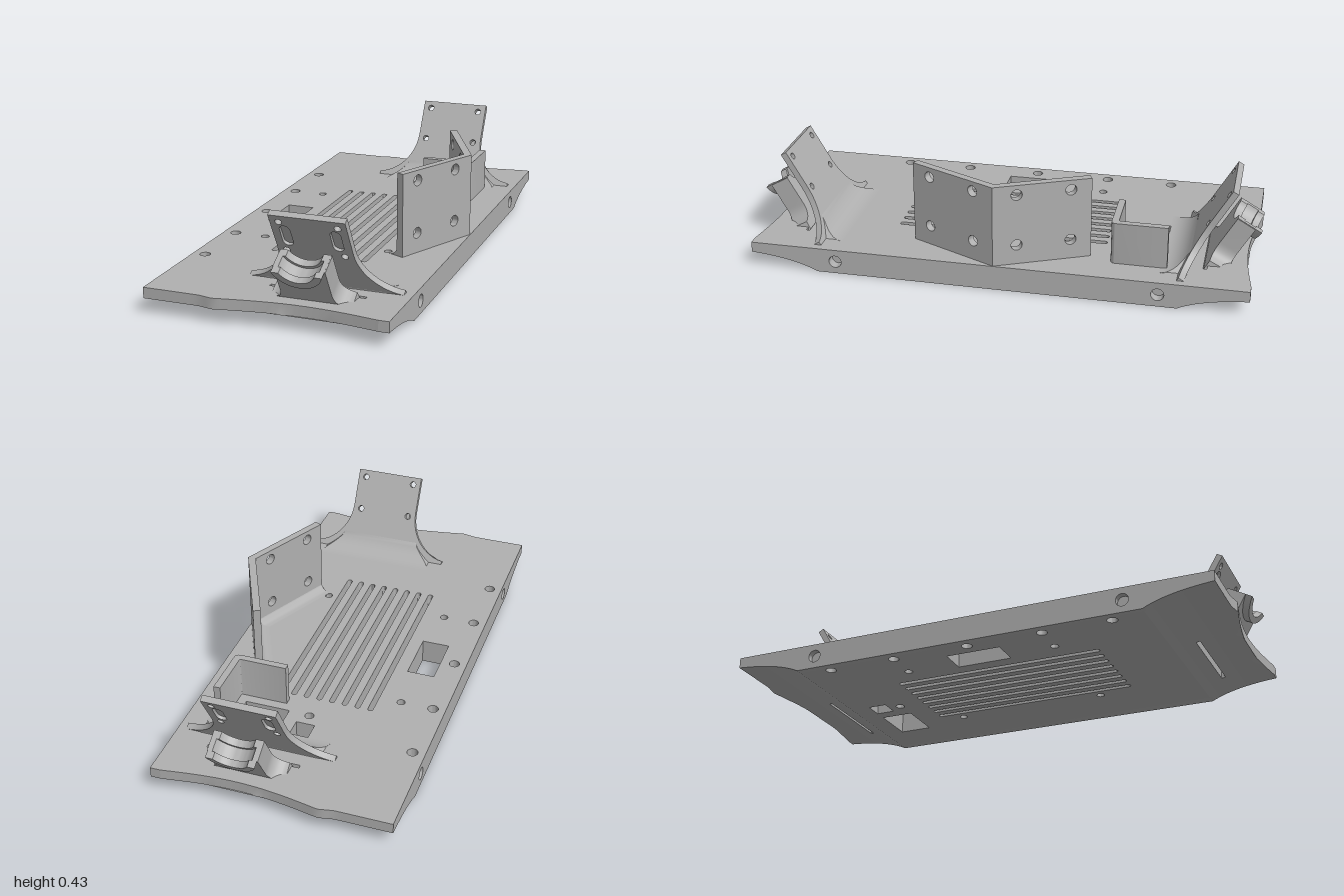
import * as THREE from 'three';
import { toCreasedNormals } from 'three/addons/utils/BufferGeometryUtils.js';

const grey = new THREE.MeshStandardMaterial({ color: 0xb0b0b0 });
grey.name = 'grey';

function part(name, geometry, parent) {
  const mesh = new THREE.Mesh(toCreasedNormals(geometry, 0.6), grey);
  mesh.name = name;
  parent.add(mesh);
  return mesh;
}

const poly = (pts) => new THREE.Shape(pts.map(([x, y]) => new THREE.Vector2(x, y)));
const rect = (x0, y0, x1, y1) => poly([[x0, y0], [x1, y0], [x1, y1], [x0, y1]]);
const circle = (x, y, r) => new THREE.Path().absarc(x, y, r, 0, Math.PI * 2);

// Upright rounded slot
function oval(x, y0, y1, r) {
  const p = new THREE.Path();
  p.absarc(x, y1 - r, r, 0, Math.PI);
  p.absarc(x, y0 + r, r, Math.PI, Math.PI * 2);
  p.closePath();
  return p;
}

const extrude = (shape, depth, steps = 1) =>
  new THREE.ExtrudeGeometry(shape, { depth, steps, bevelEnabled: false, curveSegments: 12 });

// Shape drawn as (z, y), extruded from x0 to x1
const alongX = (shape, x0, x1, steps) =>
  extrude(shape, x1 - x0, steps).rotateY(-Math.PI / 2).translate(x1, 0, 0);

// Shape drawn as (x, -z), extruded from y0 to y1
const plan = (shape, y0, y1) => extrude(shape, y1 - y0).rotateX(-Math.PI / 2).translate(0, y0, 0);

function moveVertices(geometry, rule) {
  const p = geometry.attributes.position, v = new THREE.Vector3();
  for (let i = 0; i < p.count; i++) {
    rule(v.fromBufferAttribute(p, i));
    p.setXYZ(i, v.x, v.y, v.z);
  }
  return geometry;
}

const TOP = 0.1, FLAT = 0.71, END = 0.98;
const XL = -0.445, XR = 0.43;

// Underside sweep of the plate ends, as (z, y)
const sweep = new THREE.QuadraticBezierCurve(
  new THREE.Vector2(FLAT, 0), new THREE.Vector2(0.8, 0.046), new THREE.Vector2(END, 0.058)).getPoints(14);
const underside = (z) => {
  const i = Math.max(1, sweep.findIndex((p) => p.x >= z));
  const a = sweep[i - 1], b = sweep[i];
  return a.y + (b.y - a.y) * (z - a.x) / (b.x - a.x);
};

// Slice of the end profile between two z values
function endSlice(z0, z1, s) {
  const low = sweep.filter((p) => p.x > z0 + 1e-4 && p.x < z1 - 1e-4).map((p) => [p.x * s, p.y]);
  return poly([[z0 * s, underside(z0)], ...low, [z1 * s, underside(z1)], [z1 * s, TOP], [z0 * s, TOP]]);
}

// Shallow inward curve of the end edge
function endOffset(x) {
  if (x < -0.25) return 0;
  if (x < -0.19) return 0.012 * (x + 0.25) / 0.06;
  const t = (x + 0.19) / (XR + 0.19);
  return 0.012 * (1 - t) - 0.035 * Math.sin(Math.PI * t);
}

function addBase(root) {
  const base = new THREE.Group();
  base.name = 'basePlate';
  root.add(base);

  // Flat middle with its cut-outs
  const mid = rect(XL, -FLAT, XR, FLAT);
  for (let i = 0; i < 8; i++) mid.holes.push(oval(-0.19 + i * 0.0528, -0.45, 0.4, 0.0105));
  for (const z of [-0.585, -0.31, 0, 0.305, 0.58]) mid.holes.push(circle(-0.42, -z, 0.021));
  for (const z of [-0.31, 0.305])
    for (const x of [-0.29, 0.23]) mid.holes.push(circle(x, -z, 0.016));
  mid.holes.push(rect(-0.365, -0.11, -0.255, 0.11), rect(-0.02, 0.555, 0.055, 0.63),
    rect(0.105, 0.5, 0.285, 0.63), circle(0.02, 0.505, 0.018));
  part('middlePlate', plan(mid, 0, TOP), base);

  // Swept ends, each with a thin cross slot
  for (const s of [1, -1]) {
    const pieces = [[XL, -0.05, FLAT, END], [-0.05, 0.32, FLAT, 0.79],
      [-0.05, 0.32, 0.805, END], [0.32, XR, FLAT, END]];
    for (const [x0, x1, z0, z1] of pieces) {
      const g = alongX(endSlice(z0, z1, s), x0, x1, 14);
      moveVertices(g, (v) => { if (Math.abs(v.z) > END - 0.005) v.z += s * endOffset(v.x); });
      part('sweptEnd', g, base);
    }
  }

  // Long edge strips with side holes
  const side = [...sweep.map((p) => [p.x, p.y]), [END, TOP], [-END, TOP],
    ...sweep.map((p) => [-p.x, p.y]).reverse()];
  for (const [x0, x1] of [[-0.47, XL], [XR, 0.47]]) {
    const shape = poly(side);
    for (const z of [-0.635, 0.635]) shape.holes.push(circle(z, 0.05, 0.025));
    part('edgeStrip', alongX(shape, x0, x1), base);
  }
}

// Leaning end bracket, built symmetric about x = 0 and facing +z
function addBracket(root, name, turn) {
  const bracket = new THREE.Group();
  bracket.name = name;
  bracket.position.x = 0.137;
  bracket.rotation.y = turn;
  root.add(bracket);

  const tilted = new THREE.Group();
  tilted.name = 'leaningParts';
  tilted.position.set(0, TOP, 0.73);
  tilted.rotation.x = Math.PI / 6;
  bracket.add(tilted);

  // Flared back plate: drilled inner layer, outer layer also has blind slots
  for (const outer of [false, true]) {
    const s = poly([[-0.3, -0.03], [0.3, -0.03], [0.3, 0]]);
    s.bezierCurveTo(0.215, 0.01, 0.145, 0.09, 0.145, 0.19);
    s.lineTo(0.145, 0.35);
    s.lineTo(-0.145, 0.35);
    s.lineTo(-0.145, 0.19);
    s.bezierCurveTo(-0.145, 0.09, -0.215, 0.01, -0.3, 0);
    for (const x of [-0.111, 0.111]) {
      for (const v of [0.173, 0.318]) s.holes.push(circle(x, v, 0.013));
      if (outer) s.holes.push(oval(x * 0.86, 0.2, 0.3, 0.02));
    }
    part('backPlate', extrude(s, 0.0125).translate(0, 0, outer ? -0.0125 : -0.025), tilted);
  }

  // Cradle: three half rings, the middle one grooved
  for (const [n0, n1, r] of [[0.06, 0.09, 0.073], [0.09, 0.14, 0.083], [0.14, 0.168, 0.073]]) {
    const a = Math.asin(0.031 / 0.1), b = Math.asin(0.031 / r);
    const s = new THREE.Shape();
    s.absarc(0, 0.278, 0.1, Math.PI + a, 2 * Math.PI - a, false);
    s.absarc(0, 0.278, r, 2 * Math.PI - b, Math.PI + b, true);
    s.closePath();
    part('cradleRing', extrude(s, n1 - n0).translate(0, 0, n0), tilted);
  }

  // Flared cradle support, trimmed to sit in the plate
  const s = poly([[-0.16, 0], [0.16, 0], [0.155, 0.06]]);
  s.quadraticCurveTo(0.098, 0.07, 0.098, 0.125);
  s.lineTo(0.098, 0.245);
  s.absarc(0, 0.278, 0.09, -0.37, Math.PI + 0.37, true);
  s.lineTo(-0.098, 0.245);
  s.lineTo(-0.098, 0.125);
  s.quadraticCurveTo(-0.098, 0.07, -0.155, 0.06);
  const g = extrude(s, 0.08).translate(0, 0, 0.06);
  moveVertices(g, (v) => { v.y = Math.max(v.y, (v.z * 0.5 - 0.015) / 0.866); });
  part('cradleSupport', g, tilted);

  // Concave fillet on the inner side of the plate
  const f = poly([[0.73, 0.09], [0.63, 0.09], [0.63, TOP]]);
  f.quadraticCurveTo(0.701, TOP, 0.743, 0.172);
  const fillet = alongX(f, -1, 1);
  moveVertices(fillet, (v) => {
    const t = THREE.MathUtils.clamp(1 - (v.y - TOP) / 0.08, 0, 1);
    v.x *= 0.165 + 0.085 * t * t;
  });
  part('bracketFillet', fillet, bracket);
}

// Two drilled panels meeting in a V
function addAngledPanels(root) {
  const length = 0.39, angle = Math.atan2(0.165, 0.353);
  for (const s of [1, -1]) {
    const panel = rect(0, TOP - 0.01, s * length, 0.43);
    for (const u of [0.095, 0.308])
      for (const y of [0.18, 0.39]) panel.holes.push(circle(s * u, y, 0.022));
    const pivot = new THREE.Group();
    pivot.name = s > 0 ? 'frontAngledPanel' : 'backAngledPanel';
    pivot.position.set(0.468, 0, 0);
    pivot.rotation.y = -s * angle;
    root.add(pivot);
    part('panel', extrude(panel, 0.03).rotateY(-Math.PI / 2), pivot);

    // Small concave foot
    const foot = new THREE.Shape();
    foot.moveTo(-0.025, 0.095);
    foot.lineTo(-0.025, 0.145);
    foot.quadraticCurveTo(-0.03, TOP, -0.075, TOP);
    foot.lineTo(-0.075, 0.095);
    foot.closePath();
    part('panelFoot', extrude(foot, length).translate(0, 0, s > 0 ? 0 : -length), pivot);
  }
}

// Upright L-shaped guard
function addCornerGuard(root) {
  const s = poly([[0.13, 0.435], [0.325, 0.435]]);
  s.quadraticCurveTo(0.347, 0.435, 0.347, 0.457);
  s.lineTo(0.347, 0.655);
  s.lineTo(0.32, 0.655);
  s.lineTo(0.32, 0.47);
  s.quadraticCurveTo(0.32, 0.462, 0.312, 0.462);
  s.lineTo(0.13, 0.462);
  part('cornerGuard', plan(s, TOP - 0.01, 0.27), root);
}

export function createModel() {
  const root = new THREE.Group();
  root.name = 'mountingTray';
  addBase(root);
  addBracket(root, 'frontBracket', 0);
  addBracket(root, 'backBracket', Math.PI);
  addAngledPanels(root);
  addCornerGuard(root);
  return root;
}
